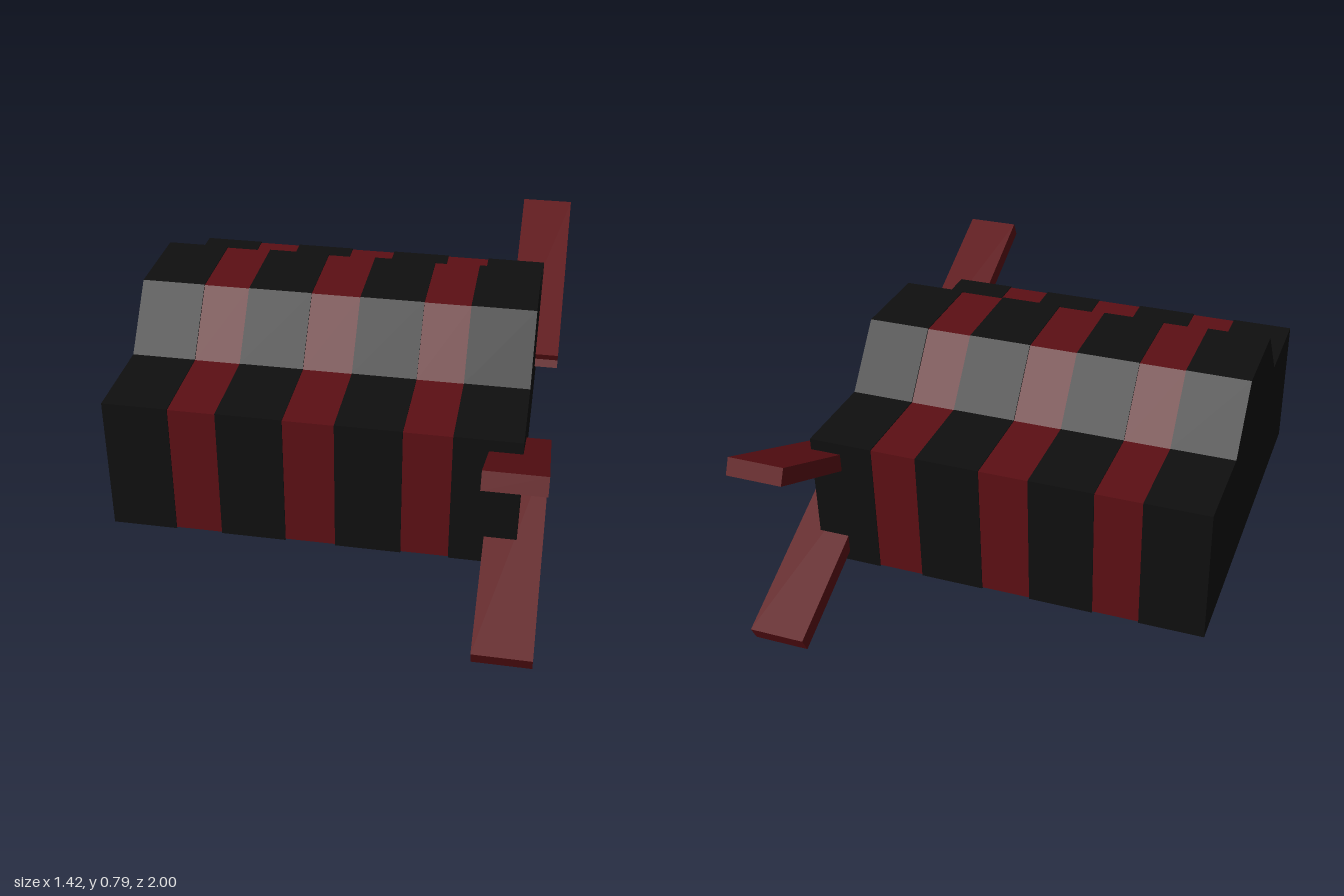
import * as THREE from 'three';

const black = new THREE.MeshStandardMaterial({ color: 0x0f0f0f, flatShading: true });
const red = new THREE.MeshStandardMaterial({ color: 0x5c0f14, flatShading: true });

// Slice of the ridged body between two x positions, shrunk by a small inset
function bodySlice(x0, x1, inset, material) {
  const half = [[0.64 - inset, 0.125 + inset], [0.64 - inset, 0.59 - inset],
    [0.32 - inset, 0.59 - inset], [0.155 - inset, 0.79 - inset]];
  const mirrored = half.map(([z, y]) => [-z, y]).reverse();
  const shape = new THREE.Shape([...half, ...mirrored].map(([z, y]) => new THREE.Vector2(z, y)));
  const geometry = new THREE.ExtrudeGeometry(shape, { depth: x1 - x0, bevelEnabled: false });
  geometry.rotateY(Math.PI / 2);
  const mesh = new THREE.Mesh(geometry, material);
  mesh.position.x = x0;
  return mesh;
}

export function createModel() {
  const model = new THREE.Group();
  model.name = 'stripedBody';

  // Alternating black and red stripes along x
  const edges = [-0.71, -0.495, -0.34, -0.125, 0.04, 0.255, 0.41, 0.625];
  for (let i = 0; i < edges.length - 1; i++) {
    const isRed = i % 2 === 1;
    const slice = bodySlice(edges[i], edges[i + 1], isRed ? 0.003 : 0, isRed ? red : black);
    slice.name = isRed ? 'redStripe' : 'blackSection';
    model.add(slice);
  }

  // Two V-shaped pairs of flat fins at the +x end
  const angle = Math.atan2(0.327, 0.69);
  const finGeometry = new THREE.BoxGeometry(0.187, 0.057, 0.763);
  for (const side of [1, -1]) {
    const pair = new THREE.Group();
    pair.name = side > 0 ? 'frontFins' : 'backFins';
    for (const up of [1, -1]) {
      const fin = new THREE.Mesh(finGeometry, red);
      fin.name = up > 0 ? 'upperFin' : 'lowerFin';
      fin.position.set(0.614, 0.356 + up * 0.1635, side * 0.642);
      fin.rotation.x = -side * up * angle;
      pair.add(fin);
    }
    model.add(pair);
  }
  return model;
}
